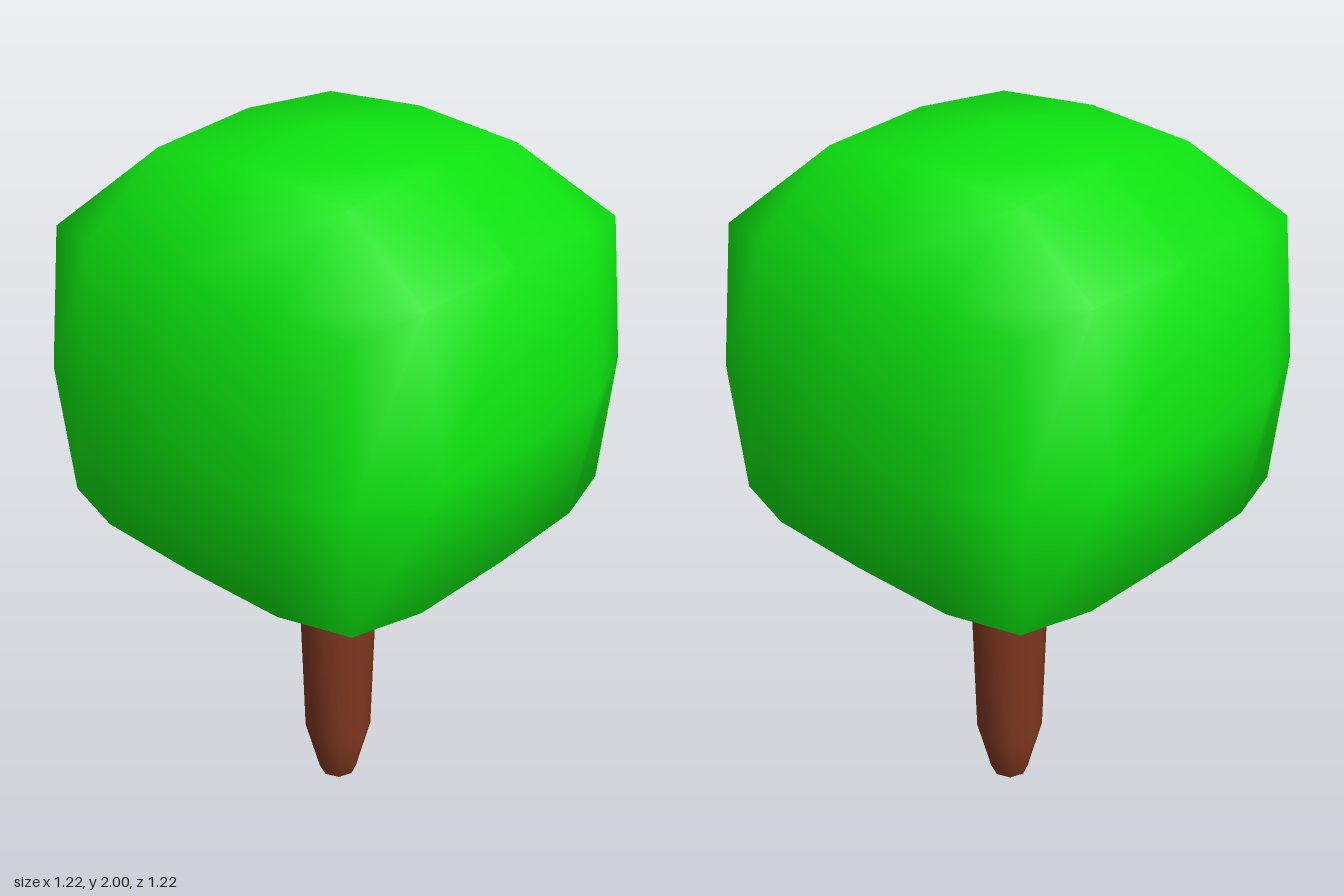
import * as THREE from 'three';
import { mergeVertices } from 'three/addons/utils/BufferGeometryUtils.js';

// Joins the seams so that normals are smooth over the whole surface
function weld(geometry) {
  geometry.deleteAttribute('normal');
  geometry.deleteAttribute('uv');
  return mergeVertices(geometry, 1e-4);
}

// Moves every vertex by a rule (x, y, z) => [x, y, z]
function reshape(geometry, rule) {
  const p = geometry.attributes.position;
  for (let i = 0; i < p.count; i++) {
    p.setXYZ(i, ...rule(p.getX(i), p.getY(i), p.getZ(i)));
  }
  geometry.computeVertexNormals();
  return geometry;
}

// Square-ish rings of the crown: on-axis reach, near-axis reach,
// offset along the side, corner, height on axis, height at corner
const RINGS = {
  bottom: { axis: 0.545, side: 0.54, along: 0.3, corner: 0.49, y: 1.01, cornerY: 1.02 },
  middle: { axis: 0.61, side: 0.595, along: 0.3, corner: 0.51, y: 1.38, cornerY: 1.38 },
  top: { axis: 0.53, side: 0.525, along: 0.3, corner: 0.48, y: 1.79, cornerY: 1.76 },
  lid: { axis: 0.3, corner: 0.3, y: 1.975, cornerY: 1.95 },
  rim: { axis: 0.37, corner: 0.31, y: 0.96, cornerY: 0.96 },
};
const TOP_Y = 2, HOLLOW_Y = 1.2;

// Grid position on the block (i, k from -2 to 2, j from -1 to 1) to crown surface
function crownPoint(i, j, k) {
  const a = Math.abs(i), b = Math.abs(k);
  const reach = Math.max(a, b), other = Math.min(a, b);
  if (reach === 0) return [0, j > 0 ? TOP_Y : HOLLOW_Y, 0];
  const ring = reach === 1
    ? (j > 0 ? RINGS.lid : RINGS.rim)
    : [RINGS.bottom, RINGS.middle, RINGS.top][j + 1];
  const atCorner = other === reach;
  const far = atCorner ? ring.corner : other === 0 ? ring.axis : ring.side;
  const near = atCorner ? ring.corner : other === 0 ? 0 : ring.along;
  const y = THREE.MathUtils.lerp(ring.y, ring.cornerY, (other / reach) ** 2);
  return [Math.sign(i) * (a >= b ? far : near), y, Math.sign(k) * (b >= a ? far : near)];
}

function makeCrown() {
  const block = weld(new THREE.BoxGeometry(4, 2, 4, 4, 2, 4));
  const geometry = reshape(block, (x, y, z) =>
    crownPoint(Math.round(x), Math.round(y), Math.round(z)));
  const crown = new THREE.Mesh(geometry, new THREE.MeshStandardMaterial({ color: 0x0ce40f }));
  crown.name = 'crown';
  return crown;
}

function makeTrunk() {
  // Eight-sided shaft with a blunt foot, widening upwards
  const profile = [[0, 0], [0.055, 0.03], [0.098, 0.19], [0.132, 0.96], [0.135, 1.1], [0, 1.12]]
    .map(([r, y]) => new THREE.Vector2(r, y));
  const shaft = weld(new THREE.LatheGeometry(profile, 8));
  // Diagonal corners pull in slightly towards the top
  const geometry = reshape(shaft, (x, y, z) => {
    const diagonal = Math.min(Math.abs(x), Math.abs(z)) > 0.01;
    const s = diagonal ? 1 - 0.13 * y : 1;
    return [x * s, y, z * s];
  });
  const trunk = new THREE.Mesh(geometry, new THREE.MeshStandardMaterial({ color: 0x803820 }));
  trunk.name = 'trunk';
  return trunk;
}

export function createModel() {
  const tree = new THREE.Group();
  tree.name = 'tree';
  tree.add(makeTrunk(), makeCrown());
  return tree;
}
